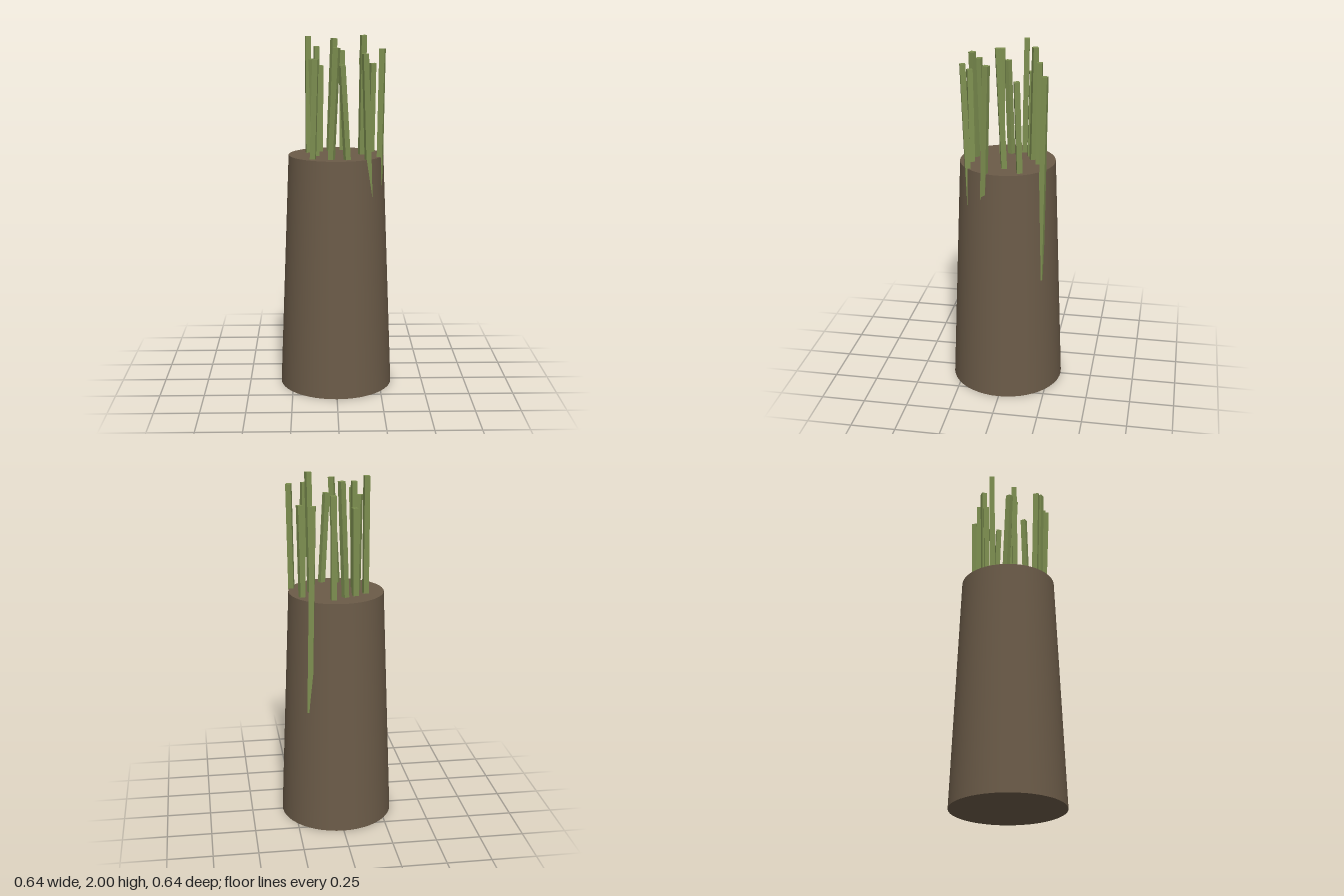
import * as THREE from 'three';

const POT_HEIGHT = 1.337;
const STEM_BOTTOM = 0.7; // stems run down into the solid base
const STEM_WIDTH = 0.03;

// Each stem: top x, top y, top z, x and z shift from its tip down to the rim height, yaw in degrees
const STEMS = [
  [0.154, 1.86, -0.223, 0.010, 0.004, -10],
  [0.038, 1.905, -0.178, 0, 0, 0],
  [-0.009, 1.975, -0.148, -0.024, 0.013, 27],
  [-0.086, 1.825, -0.121, -0.005, 0.009, 12],
  [-0.155, 1.99, -0.08, 0, 0.009, 8],
  [-0.132, 1.87, 0.023, 0.013, -0.023, -30],
  [-0.107, 1.94, 0.048, -0.002, 0.005, 8],
  [-0.114, 1.88, 0.182, -0.016, -0.012, -10],
  [0, 1.94, 0.196, -0.029, -0.011, -25],
  [0.027, 1.85, 0.207, 0.030, -0.014, 25],
  [0.152, 1.91, 0.218, 0.019, -0.025, 18],
  [0.252, 1.93, 0.071, -0.010, 0.017, -17],
  [0.209, 1.84, -0.082, -0.007, -0.016, 18],
  [0.15, 2.0, 0.027, -0.007, -0.030, 18],
];

const UP = new THREE.Vector3(0, 1, 0);

// A square rod leaning from a hidden foot to its tip
function makeStem([x, y, z, dx, dz, yaw], material) {
  const tip = new THREE.Vector3(x, y, z);
  const reach = (y - STEM_BOTTOM) / (y - POT_HEIGHT);
  const foot = new THREE.Vector3(x + dx * reach, STEM_BOTTOM, z + dz * reach);
  const axis = tip.clone().sub(foot);
  const geometry = new THREE.BoxGeometry(STEM_WIDTH, axis.length(), STEM_WIDTH);
  const stem = new THREE.Mesh(geometry, material);
  stem.position.copy(tip).add(foot).multiplyScalar(0.5);
  const turn = new THREE.Quaternion().setFromAxisAngle(UP, THREE.MathUtils.degToRad(yaw));
  stem.quaternion.setFromUnitVectors(UP, axis.normalize()).multiply(turn);
  return stem;
}

export function createModel() {
  const model = new THREE.Group();
  model.name = 'pottedStems';
  const brown = new THREE.MeshStandardMaterial({ color: 0x6b5b48 });
  const green = new THREE.MeshStandardMaterial({ color: 0x7d8f50 });

  // Tapered solid base
  const base = new THREE.Mesh(new THREE.CylinderGeometry(0.267, 0.32, POT_HEIGHT, 48), brown);
  base.name = 'base';
  base.position.y = POT_HEIGHT / 2;
  model.add(base);

  // Scattered stems
  const stems = new THREE.Group();
  stems.name = 'stems';
  STEMS.forEach((data, i) => {
    const stem = makeStem(data, green);
    stem.name = `stem${i + 1}`;
    stems.add(stem);
  });
  model.add(stems);
  return model;
}
